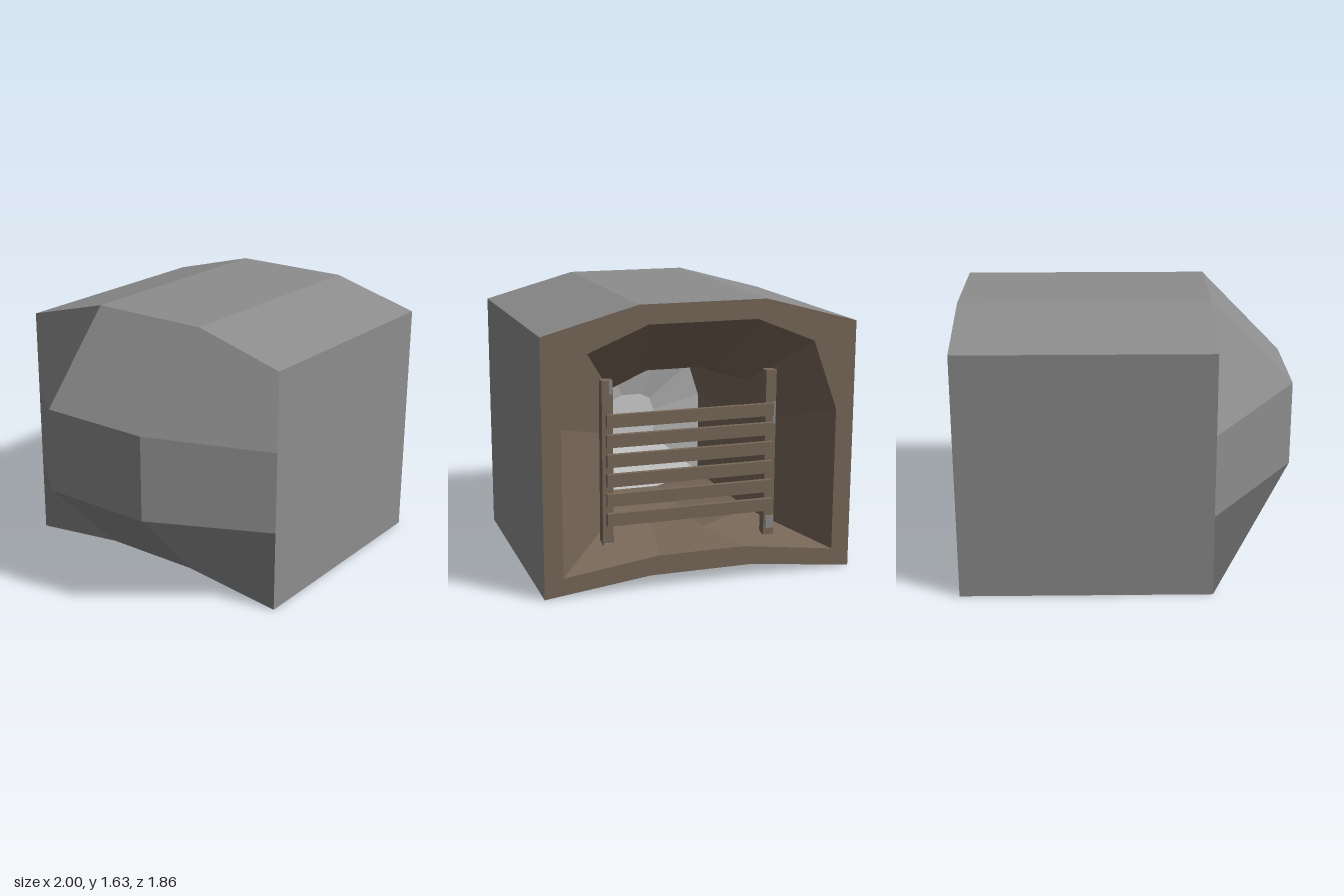
import * as THREE from 'three';

// Adds one quad (split a-c) whose corners share a single face normal.
function pushQuad(out, a, b, c, d) {
  const v = [a, b, c, d].map((p) => new THREE.Vector3(...p));
  const n = v[2].clone().sub(v[0]).cross(v[3].clone().sub(v[1])).normalize();
  for (const i of [0, 1, 2, 0, 2, 3]) {
    out.pos.push(...v[i].toArray());
    out.nor.push(n.x, n.y, n.z);
  }
}

function toGeometry(out) {
  const g = new THREE.BufferGeometry();
  g.setAttribute('position', new THREE.Float32BufferAttribute(out.pos, 3));
  g.setAttribute('normal', new THREE.Float32BufferAttribute(out.nor, 3));
  return g;
}

// Mirrors a half section of [z, y] points, listed bottom to top on +z.
const fullRing = (half) => [...half, ...half.map(([z, y]) => [-z, y]).reverse()];

// Joins two sections; faces point outward when xA < xB, inward otherwise.
function loft(ringA, xA, ringB, xB) {
  const out = { pos: [], nor: [] };
  ringA.forEach(([z, y], i) => {
    const j = (i + 1) % ringA.length;
    pushQuad(out, [xA, y, z], [xB, ringB[i][1], ringB[i][0]],
      [xB, ringB[j][1], ringB[j][0]], [xA, ringA[j][1], ringA[j][0]]);
  });
  return toGeometry(out);
}

// Flat plate facing +x, with an optional hole.
function plate(ring, x, hole) {
  const points = (r) => r.map(([z, y]) => new THREE.Vector2(-z, y));
  const shape = new THREE.Shape(points(ring));
  if (hole) shape.holes.push(new THREE.Path(points(hole)));
  return new THREE.ShapeGeometry(shape).rotateY(Math.PI / 2).translate(x, 0, 0);
}

export function createModel() {
  const model = new THREE.Group();
  const mat = (name, color) => {
    const m = new THREE.MeshStandardMaterial({ color });
    m.name = name;
    return m;
  };
  const grey = mat('shell grey', 0x8d8d8d);
  const brown = mat('frame brown', 0x786859);
  const light = mat('pale backing', 0xd2d2d2);
  const add = (name, geometry, material, parent = model) => {
    const mesh = new THREE.Mesh(geometry, material);
    mesh.name = name;
    parent.add(mesh);
    return mesh;
  };

  // Outer shell
  const backX = -0.495;
  const outer = fullRing([[0.31, 0.075], [0.93, 0], [0.93, 1.485], [0.375, 1.635]]);
  add('shell', loft(outer, backX, outer, 1), grey);

  // Tapered rear: a three by three grid with its middle pushed out
  const row = (y0, y1, z1, x1 = backX) =>
    [[backX, y0, -0.93], [x1, y1, -z1], [x1, y1, z1], [backX, y0, 0.93]];
  const grid = [
    row(0, 0.075, 0.31),
    row(0.5, 0.6, 0.35, -1),
    row(1, 1.12, 0.35, -1),
    row(1.485, 1.635, 0.375),
  ];
  const rear = { pos: [], nor: [] };
  for (let r = 0; r < 3; r++) {
    for (let c = 0; c < 3; c++) {
      const q = [grid[r][c], grid[r][c + 1], grid[r + 1][c + 1], grid[r + 1][c]];
      if (r === 2) q.push(q.shift());
      pushQuad(rear, ...q);
    }
  }
  add('taperedRear', toGeometry(rear), grey);

  // Opening rim and the recess that narrows behind it
  const mouth = fullRing([[0.26, 0.19], [0.82, 0.115], [0.82, 0.97], [0.67, 1.38], [0.32, 1.523]]);
  const throat = fullRing([[0.15, 0.19], [0.45, 0.27], [0.45, 0.82], [0.43, 1.08], [0.2, 1.18]]);
  const inner = fullRing([[0.15, 0.19], [0.44, 0.27], [0.44, 0.8], [0.37, 1.02], [0.19, 1.11]]);
  add('rim', plate(outer, 1, mouth), brown);
  add('recess', loft(mouth, 1, throat, 0.58), brown);
  add('innerRecess', loft(throat, 0.58, inner, -0.3), brown);

  // Pale hollow closing the recess
  const hollow = inner.map(([z, y]) => [z * 0.35, 0.65 + (y - 0.65) * 0.35]);
  add('backingSides', loft(inner, -0.3, hollow, -0.4), light);
  add('backing', plate(hollow, -0.4), light);

  // Slatted barrier
  const barrier = new THREE.Group();
  barrier.name = 'barrier';
  model.add(barrier);
  for (const side of [-1, 1]) {
    add('post', new THREE.BoxGeometry(0.06, 1.01, 0.065), brown, barrier)
      .position.set(0.76, 0.675, side * 0.5);
  }
  for (let i = 0; i < 6; i++) {
    add('slat', new THREE.BoxGeometry(0.03, 0.075, 1.02), brown, barrier)
      .position.set(0.802, 0.365 + i * 0.1165, 0);
  }

  // Bare grey patches on the posts: [z, y, width, height]
  for (const [z, y, w, h] of [
    [0.48, 1.14, 0.02, 0.08], [0.5, 0.205, 0.05, 0.03],
    [-0.52, 0.92, 0.02, 0.14], [-0.505, 0.25, 0.05, 0.08],
  ]) {
    add('wornPatch', new THREE.BoxGeometry(0.004, h, w), grey, barrier)
      .position.set(0.791, y, z);
  }
  return model;
}
